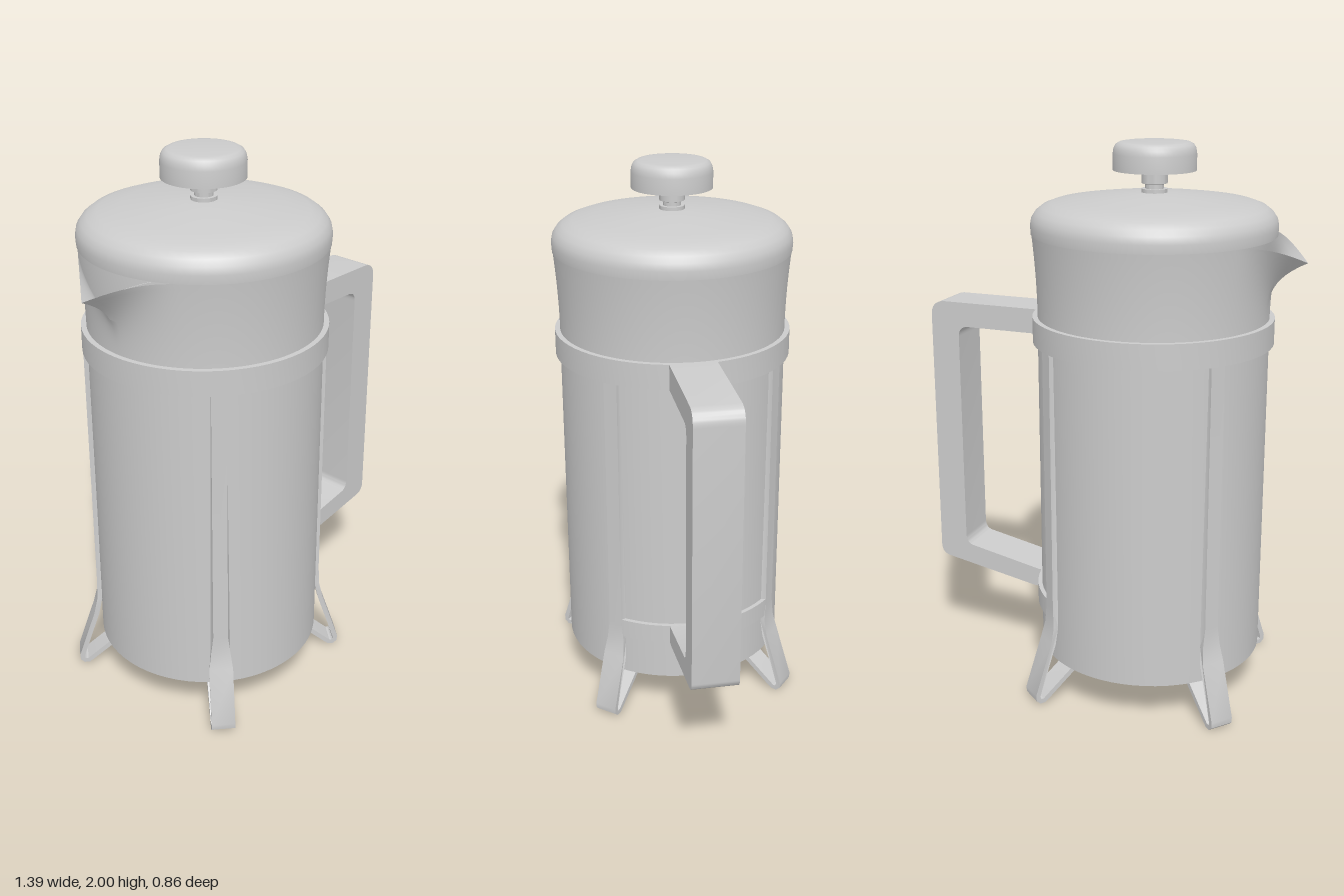
import * as THREE from 'three';
import { toCreasedNormals } from 'three/addons/utils/BufferGeometryUtils.js';

const CX = -0.155; // axis of the pot
const material = new THREE.MeshStandardMaterial({ color: 0xcccccc, side: THREE.DoubleSide });

const vectors = (pts) => pts.map(([x, y]) => new THREE.Vector2(x, y));

function addMesh(parent, name, geometry, crease = 0.6) {
  const mesh = new THREE.Mesh(toCreasedNormals(geometry, crease), material);
  mesh.name = name;
  parent.add(mesh);
  return mesh;
}

function lathe(pts, segments = 64, start = 0, length = Math.PI * 2) {
  return new THREE.LatheGeometry(vectors(pts), segments, start, length);
}

// Ring of rectangular section, full or partial
function hoop(r0, r1, y0, y1, start, length) {
  return lathe([[r0, y0], [r1, y0], [r1, y1], [r0, y1], [r0, y0]], 64, start, length);
}

// Flared neck whose wall is drawn out into a pouring lip on the -x side
function neckGeometry() {
  const rows = 16, cols = 120, lip = THREE.MathUtils.degToRad(34);
  const rimR = 0.425, tipR = 0.545, positions = [], indices = [];
  const ex = rimR * Math.cos(lip), ez = rimR * Math.sin(lip);
  for (let i = 0; i <= rows; i++) {
    const h = i / rows;
    const base = 0.408 + (rimR - 0.408) * h * h;
    for (let j = 0; j <= cols; j++) {
      const a = (j / cols) * Math.PI * 2 - Math.PI; // 0 points at the lip
      const t = Math.max(0, 1 - Math.abs(a) / lip);
      let r = base, rim = 1.69;
      if (t > 0) {
        // straight edge from the lip tip to the rim circle
        const edge = (tipR * ez) / (ez * Math.cos(a) + (tipR - ex) * Math.sin(Math.abs(a)));
        r += (edge - rimR) * Math.pow(h, 4);
        rim -= 0.07 * Math.pow(t, 2.5);
      }
      positions.push(-r * Math.cos(a), 1.38 + h * (rim - 1.38), r * Math.sin(a));
      if (i < rows && j < cols) {
        const p = i * (cols + 1) + j, q = p + cols + 1;
        indices.push(p, p + 1, q, p + 1, q + 1, q);
      }
    }
  }
  const g = new THREE.BufferGeometry();
  g.setAttribute('position', new THREE.Float32BufferAttribute(positions, 3));
  g.setIndex(indices);
  return g;
}

// Bent metal strip: upright, splayed foot, then back under the base to the centre
function legGeometry() {
  const path = vectors([[0.424, 1.34], [0.424, 0.36], [0.426, 0.29], [0.44, 0.23], [0.505, 0.035],
    [0.503, 0.014], [0.488, 0.001], [0.468, 0.002], [0.45, 0.016], [0.32, 0.124], [0.28, 0.143],
    [0.23, 0.14], [0, 0.125]]);
  const inner = path.map((p, i) => {
    const a = path[Math.max(i - 1, 0)], b = path[Math.min(i + 1, path.length - 1)];
    const t = b.clone().sub(a).normalize();
    return new THREE.Vector2(p.x + t.y * 0.018, p.y - t.x * 0.018);
  });
  const g = new THREE.ExtrudeGeometry(new THREE.Shape([...path, ...inner.reverse()]),
    { depth: 1, bevelEnabled: false });
  const pos = g.attributes.position;
  for (let i = 0; i < pos.count; i++) {
    const width = THREE.MathUtils.mapLinear(THREE.MathUtils.clamp(pos.getY(i), 0.23, 0.36), 0.23, 0.36, 0.085, 0.052);
    pos.setZ(i, (pos.getZ(i) - 0.5) * width);
  }
  return g;
}

function handleGeometry() {
  const s = new THREE.Shape();
  s.moveTo(0.23, 1.4);
  s.lineTo(0.64, 1.4);
  s.quadraticCurveTo(0.69, 1.395, 0.69, 1.345);
  s.lineTo(0.69, 0.42);
  s.quadraticCurveTo(0.69, 0.38, 0.65, 0.375);
  s.lineTo(0.29, 0.31);
  s.lineTo(0.23, 0.31);
  s.lineTo(0.23, 0.38);
  s.lineTo(0.27, 0.38);
  s.lineTo(0.55, 0.435);
  s.quadraticCurveTo(0.58, 0.44, 0.58, 0.48);
  s.lineTo(0.58, 1.27);
  s.quadraticCurveTo(0.58, 1.31, 0.54, 1.31);
  s.lineTo(0.23, 1.31);
  s.closePath();
  const g = new THREE.ExtrudeGeometry(s, { depth: 0.166, bevelEnabled: false, curveSegments: 10 });
  return g.translate(0, 0, -0.083);
}

export function createModel() {
  const model = new THREE.Group();
  model.name = 'coffeePress';
  const pot = new THREE.Group();
  pot.name = 'pot';
  pot.position.x = CX;
  model.add(pot);

  // Glass beaker
  addMesh(pot, 'beaker', lathe([[0, 0.152], [0.409, 0.152], [0.409, 1.38]]));
  addMesh(pot, 'neckWithSpout', neckGeometry());

  // Frame: collar, lower brace between the handle-side legs, four legs
  const frame = new THREE.Group();
  frame.name = 'frame';
  pot.add(frame);
  addMesh(frame, 'collar', hoop(0.405, 0.427, 1.31, 1.4));
  const legAngle = THREE.MathUtils.degToRad(40);
  addMesh(frame, 'lowerBrace', hoop(0.405, 0.424, 0.31, 0.38, Math.PI / 2 - legAngle, Math.PI / 2));
  const leg = legGeometry();
  for (let i = 0; i < 4; i++) {
    addMesh(frame, 'leg' + (i + 1), leg).rotation.y = -(legAngle + (i * Math.PI) / 2);
  }

  // Domed lid
  addMesh(pot, 'lid', lathe([[0, 1.69], [0.427, 1.69], [0.429, 1.72], [0.424, 1.745], [0.41, 1.766],
    [0.388, 1.783], [0.355, 1.795], [0.28, 1.806], [0.18, 1.818], [0.08, 1.828], [0, 1.83]]));

  // Plunger rod and knob
  addMesh(pot, 'plungerRod', lathe([[0, 1.82], [0.045, 1.82], [0.045, 1.842], [0.032, 1.842],
    [0.032, 1.856], [0.045, 1.86], [0.045, 1.91]], 32));
  addMesh(pot, 'knob', lathe([[0, 1.904], [0.144, 1.904], [0.144, 1.96], [0.141, 1.978], [0.134, 1.991],
    [0.122, 1.998], [0.108, 2], [0, 2]], 48));

  // Handle
  addMesh(model, 'handle', handleGeometry());
  return model;
}
